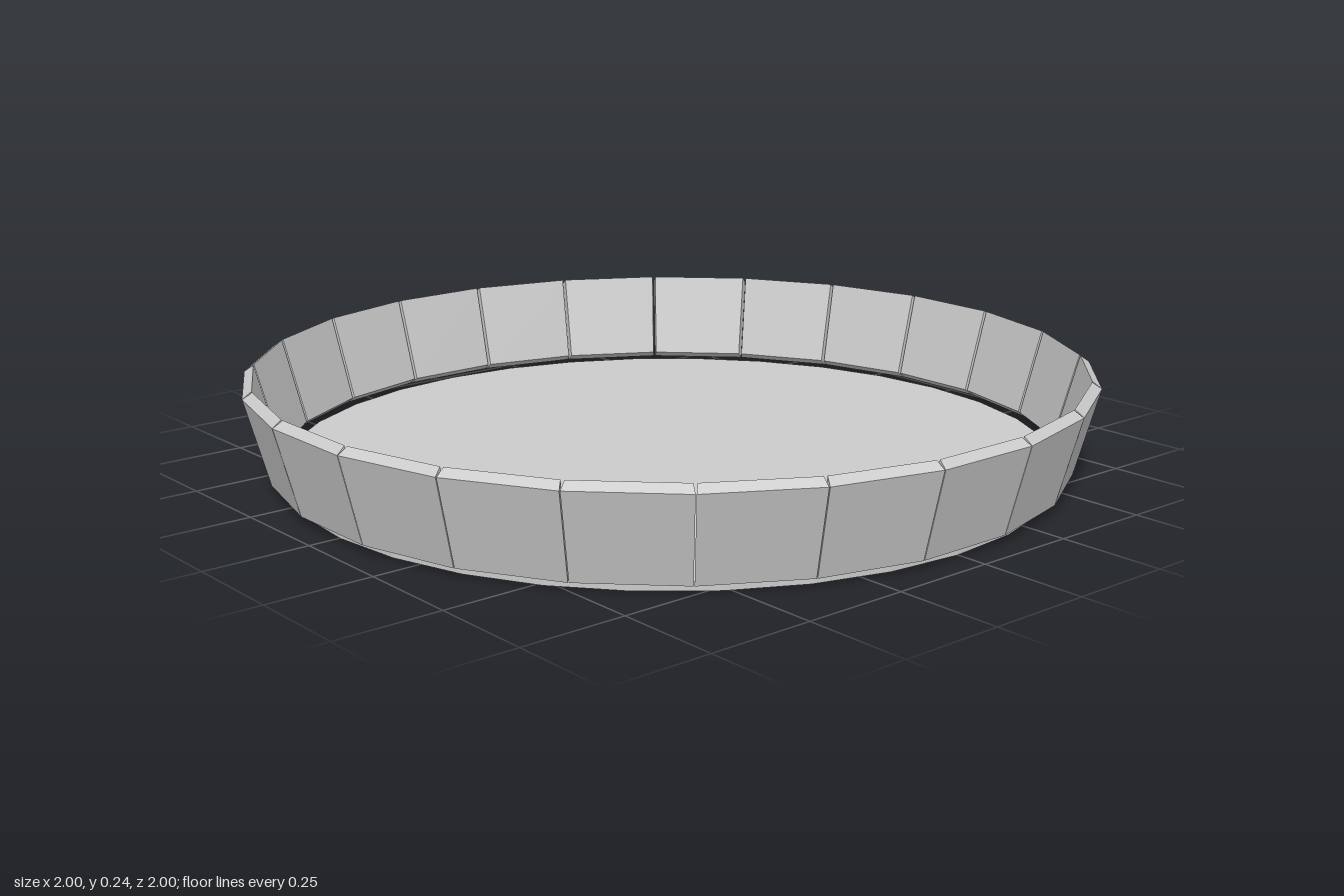
import * as THREE from 'three';

const PANELS = 24;
const HALF_ANGLE = Math.PI / PANELS;

// One leaning wall panel: a box whose corners follow the slanted section
function panelGeometry() {
  const geo = new THREE.BoxGeometry(2, 2, 2).toNonIndexed();
  const pos = geo.attributes.position;
  for (let i = 0; i < pos.count; i++) {
    const top = pos.getY(i) > 0;
    const outer = pos.getZ(i) > 0;
    let r = top ? 1.0 : 0.945;
    let y = top ? 0.228 : 0.021;
    if (!outer) {
      r -= 0.022;
      y += 0.016;
    }
    // inner corners stop a little short, leaving a fine seam
    const half = r * Math.tan(HALF_ANGLE) - (outer ? 0.001 : 0.004);
    pos.setXYZ(i, Math.sign(pos.getX(i)) * half, y, r);
  }
  geo.computeVertexNormals();
  return geo;
}

export function createModel() {
  const model = new THREE.Group();
  model.name = 'roundTray';
  const material = new THREE.MeshStandardMaterial({ color: 0xcccccc, flatShading: true });

  // Flat floor disc
  const floor = new THREE.Mesh(new THREE.CylinderGeometry(0.925, 0.925, 0.02, 32), material);
  floor.name = 'floor';
  floor.position.y = 0.01;
  model.add(floor);

  // Ring of wall panels
  const wall = new THREE.Group();
  wall.name = 'wall';
  const geo = panelGeometry();
  for (let i = 0; i < PANELS; i++) {
    const panel = new THREE.Mesh(geo, material);
    panel.name = 'wallPanel';
    panel.rotation.y = i * HALF_ANGLE * 2;
    wall.add(panel);
  }
  model.add(wall);
  return model;
}
